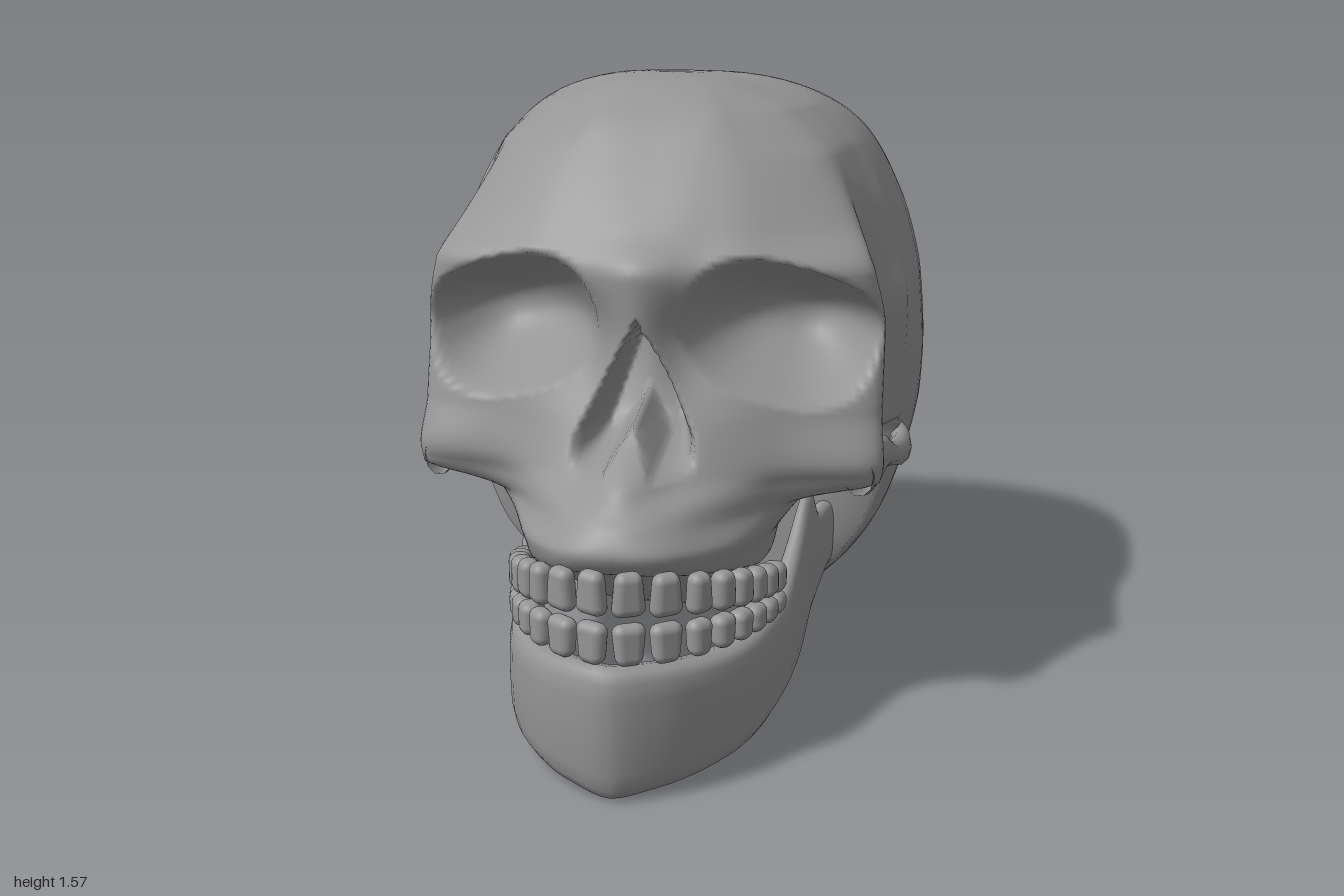
import * as THREE from 'three';
import { mergeGeometries, mergeVertices } from 'three/addons/utils/BufferGeometryUtils.js';
import { RoundedBoxGeometry } from 'three/addons/geometries/RoundedBoxGeometry.js';

const material = new THREE.MeshStandardMaterial({ color: 0x959595, side: THREE.DoubleSide });
const { clamp, lerp, smoothstep } = THREE.MathUtils;
const V = (x, y, z) => new THREE.Vector3(x, y, z);

// Smooth, overshoot-free interpolation between the rows of a table
function sample(table, t) {
  const last = table.length - 1, i = Math.min(Math.floor(t), last - 1), f = t - i;
  const span = (k) => Math.abs(table[k + 1][0] - table[k][0]) + 0.03;
  const rate = (k, c) => (table[k + 1][c] - table[k][c]) / span(k);
  const slope = (k, c) => {
    if (k === 0 || k === last) return rate(k === 0 ? 0 : last - 1, c);
    const a = rate(k - 1, c), b = rate(k, c);
    return a * b > 0 ? 2 * a * b / (a + b) : 0;
  };
  const f2 = f * f, f3 = f2 * f;
  return table[i].map((p, c) => p * (2 * f3 - 3 * f2 + 1) + table[i + 1][c] * (3 * f2 - 2 * f3)
    + span(i) * (slope(i, c) * (f3 - 2 * f2 + f) + slope(i + 1, c) * (f3 - f2)));
}

// Row parameters, denser where rows of the table lie far apart in height
function steps(table) {
  const out = [];
  for (let i = 0; i < table.length - 1; i++) {
    const n = Math.max(4, Math.ceil(Math.abs(table[i + 1][0] - table[i][0]) / 0.013));
    for (let k = 0; k < n; k++) out.push(i + k / n);
  }
  return [...out, table.length - 1];
}

// Surface through rows of points, for the left half and its mirror image
function mirroredGrid(rows, flip) {
  return [1, -1].map((side) => {
    const pos = [], index = [], n = rows[0].length;
    rows.forEach((row) => row.forEach((p) => pos.push(p.x * side, p.y, p.z)));
    for (let r = 0; r < rows.length - 1; r++) for (let c = 0; c < n - 1; c++) {
      const a = r * n + c, b = a + n;
      if (flip === (side > 0)) index.push(a, b + 1, b, a, a + 1, b + 1);
      else index.push(a, b, b + 1, a, b + 1, a + 1);
    }
    const g = new THREE.BufferGeometry();
    g.setAttribute('position', new THREE.Float32BufferAttribute(pos, 3));
    return g.setIndex(index);
  });
}

function weld(parts) {
  const g = mergeVertices(mergeGeometries(parts), 1e-4);
  g.computeVertexNormals();
  return g;
}

// Depth of the eye socket and nasal opening at a point of the face
function hollow(x, y) {
  const dx = x - 0.33, dy = y - 1.01, a = 0.3;
  const u = (dx * Math.cos(a) - dy * Math.sin(a)) / 0.232;
  const v = (dx * Math.sin(a) + dy * Math.cos(a)) / 0.165;
  const e = Math.pow(Math.abs(u), 2.5) + Math.pow(Math.abs(v), 2.5);
  const eye = e < 1 ? 0.26 * Math.pow(1 - e, 1.15) : 0;
  const width = 0.148 * Math.pow(clamp((1.04 - y) / 0.27, 0, 1), 0.9);
  const floor = Math.max(0.705, 0.81 - x * 1.7);
  const nose = width > 0 ? 0.2 * smoothstep(1 - x / width, 0, 0.4) * clamp((y - floor) / 0.04, 0, 1) : 0;
  return eye + nose;
}

// Face levels: y, middle z, z beside the nose, cheek x, cheek z
const FRONT = [
  [1.575, 0.05, 0.05, 0, 0.05], [1.56, 0.17, 0.16, 0.09, 0.15], [1.5, 0.285, 0.28, 0.18, 0.25],
  [1.4, 0.39, 0.385, 0.24, 0.35], [1.24, 0.53, 0.515, 0.28, 0.475], [1.15, 0.615, 0.57, 0.29, 0.54],
  [1.0, 0.605, 0.53, 0.31, 0.5], [0.8, 0.645, 0.615, 0.32, 0.54], [0.69, 0.81, 0.7, 0.33, 0.56],
  [0.64, 0.85, 0.78, 0.33, 0.55], [0.59, 0.885, 0.82, 0.29, 0.58], [0.5, 0.91, 0.87, 0.25, 0.7],
  [0.43, 0.87, 0.83, 0.23, 0.67], [0.5, 0.72, 0.68, 0.15, 0.55],
];
// Same levels: outer rim x, z; temple x, z; rear edge x, z
const SIDE = [
  [0, 0.05, 0, 0.05, 0, 0.05], [0.13, 0.12, 0.15, 0.06, 0.16, 0], [0.28, 0.18, 0.32, 0.1, 0.345, 0],
  [0.38, 0.255, 0.43, 0.14, 0.46, 0], [0.48, 0.345, 0.485, 0.21, 0.545, 0.01], [0.53, 0.42, 0.495, 0.25, 0.57, 0.03],
  [0.56, 0.39, 0.505, 0.25, 0.605, 0.05], [0.56, 0.44, 0.51, 0.25, 0.6, 0.05], [0.57, 0.48, 0.515, 0.25, 0.59, 0.05],
  [0.565, 0.47, 0.45, 0.3, 0.3, 0.25], [0.38, 0.44, 0.34, 0.3, 0.28, 0.24], [0.31, 0.46, 0.31, 0.32, 0.26, 0.24],
  [0.29, 0.45, 0.29, 0.32, 0.26, 0.27], [0.18, 0.4, 0.18, 0.32, 0.17, 0.27],
];
// Braincase levels: y, half width, back z, front edge x, z (the edge follows the face down to 0.69)
const BACK = [
  [1.575, 0, 0.05, 0, 0], [1.56, 0.18, -0.17, 0, 0], [1.5, 0.36, -0.41, 0, 0], [1.4, 0.475, -0.66, 0, 0],
  [1.24, 0.56, -0.81, 0, 0], [1.15, 0.592, -0.88, 0, 0], [1.0, 0.624, -0.955, 0, 0], [0.8, 0.637, -0.988, 0, 0],
  [0.69, 0.632, -0.998, 0.59, 0.05], [0.64, 0.625, -1, 0.585, 0.03], [0.5, 0.592, -0.965, 0.54, 0.02],
  [0.35, 0.535, -0.902, 0.48, 0.02], [0.25, 0.47, -0.845, 0.4, 0.02], [0.15, 0.37, -0.725, 0.3, -0.03],
  [0.08, 0.25, -0.59, 0.2, -0.09], [0.03, 0.06, -0.33, 0.05, -0.24], [0.03, 0, -0.28, 0, -0.28],
];

function skullGeometry() {
  const COLS = 60, FLOOR = 4, edges = [];
  // underside columns, folded away above the cheekbones
  const addFloor = (row, edge, y, z) => {
    const open = clamp((0.69 - y) / 0.05, 0, 1);
    for (let k = 1; k <= FLOOR; k++) {
      const f = open * k / FLOOR;
      row.push(V(lerp(edge.x, 0, f), edge.y, lerp(edge.z, z, f)));
    }
  };
  const face = steps(FRONT).map((t) => {
    const [y, zm, zf, xq, zq] = sample(FRONT, t), [rx, rz, tx, tz, ex, ez] = sample(SIDE, t);
    const xf = Math.min(0.13, 0.45 * rx);
    const curve = new THREE.CatmullRomCurve3([V(-xf, y, zf), V(0, y, zm), V(xf, y, zf),
      V(xq, y, zq), V(rx, y, rz), V(tx, y, tz), V(ex, y, ez)], false, 'catmullrom', 0.5);
    const row = [], low = clamp((0.68 - y) / 0.25, 0, 1);
    for (let c = 0; c <= COLS; c++) {
      const p = c === COLS ? V(ex, y, ez) : curve.getPoint((1 + 5 * c / COLS) / 6);
      if (c === 0) p.x = 0;
      if (c / COLS < 0.62) p.z -= hollow(p.x, y);
      // the gum line rises to the front and at the very back
      p.y += low * (0.25 * Math.max(0, p.z - 0.5) + 0.8 * Math.max(0, 0.34 - p.z));
      row.push(p);
    }
    if (t <= 8) edges.push(row[COLS].clone());
    addFloor(row, row[COLS], y, ez);
    return row;
  });
  const back = steps(BACK).map((t, i) => {
    const [y, w, zb, bx, bz] = sample(BACK, t);
    const edge = i < edges.length ? edges[i] : V(bx, y, bz);
    const zc = lerp(edge.z, zb, 0.3), row = [];
    for (let k = 0; k <= 16; k++) {
      const a = k / 16 * Math.PI / 2;
      row.push(V(w * Math.pow(Math.sin(a), 0.83), y, zc + (zb - zc) * Math.pow(Math.max(0, Math.cos(a)), 0.83)));
    }
    for (let k = 1; k <= 6; k++) {
      const f = k / 6;
      row.push(V(lerp(edge.x, w, Math.cos(f * Math.PI / 2)), y, lerp(zc, edge.z, f)));
    }
    addFloor(row, edge, y, edge.z);
    return row;
  });
  return weld([...mirroredGrid(face, false), ...mirroredGrid(back, true)]);
}

// Jaw stations across the chin to the hinge: outer x, z, top y, bottom y, thickness
const JAW = [
  [-0.12, 0.945, 0.33, 0.015, 0.1], [0, 1.0, 0.335, 0.001, 0.1], [0.12, 0.945, 0.33, 0.015, 0.1],
  [0.22, 0.84, 0.315, 0.025, 0.1], [0.305, 0.67, 0.305, 0.035, 0.09], [0.35, 0.45, 0.31, 0.05, 0.08],
  [0.37, 0.3, 0.4, 0.075, 0.06], [0.38, 0.2, 0.49, 0.125, 0.045], [0.385, 0.155, 0.515, 0.16, 0.04],
  [0.4, 0.09, 0.43, 0.21, 0.045], [0.42, 0.03, 0.44, 0.26, 0.05], [0.45, -0.03, 0.41, 0.3, 0.03],
];

function jawGeometry() {
  const rows = [], last = JAW.length - 1;
  const squash = (v) => Math.sign(v) * Math.pow(Math.abs(v), 0.6);
  for (let i = 4; i <= last * 4; i++) {
    const [x, z, top, bottom, th] = sample(JAW, i / 4);
    const a = sample(JAW, i / 4 - 0.1), b = sample(JAW, Math.min(last, i / 4 + 0.1));
    const n = i === 4 ? new THREE.Vector2(0, 1) : new THREE.Vector2(a[1] - b[1], b[0] - a[0]).normalize();
    const row = [];
    for (let k = 0; k <= 16; k++) {
      const q = (k % 16) / 16 * Math.PI * 2, s = squash(Math.sin(q));
      const off = (squash(Math.cos(q)) - 1) * th / 2;
      const lean = (1 - s) / 2 * 0.06 * Math.max(0, z - 0.5);
      row.push(V(x + n.x * off, lerp(bottom, top, (s + 1) / 2), z + n.y * off - lean));
    }
    rows.push(row);
  }
  return weld(mirroredGrid(rows, false));
}

// Cheek arch stations from cheekbone to temple: z, x, y, half width, half height
const ARCH = [
  [0.5, 0.52, 0.665, 0.035, 0.05], [0.4, 0.535, 0.66, 0.035, 0.065], [0.3, 0.557, 0.665, 0.026, 0.05],
  [0.18, 0.577, 0.63, 0.026, 0.032], [0.06, 0.597, 0.61, 0.03, 0.045], [0, 0.59, 0.615, 0.03, 0.05],
  [-0.07, 0.56, 0.63, 0.02, 0.04],
];

function archGeometry() {
  const rows = [];
  for (let i = 0; i <= (ARCH.length - 1) * 4; i++) {
    const [z, x, y, rx, ry] = sample(ARCH, i / 4), row = [];
    for (let k = 0; k <= 10; k++) {
      const q = (k % 10) / 10 * Math.PI * 2;
      row.push(V(x + rx * Math.cos(q), y + ry * Math.sin(q), z));
    }
    rows.push(row);
  }
  return weld(mirroredGrid(rows, false));
}

// One row of teeth along the dental arch, lower and wider towards the back
function teeth(name, yFront, yBack, hFront, hBack, taper) {
  const group = new THREE.Group();
  group.name = name;
  const arch = [[0.042, 0.925], [0.12, 0.885], [0.185, 0.82], [0.23, 0.75], [0.263, 0.685],
    [0.287, 0.615], [0.305, 0.54], [0.315, 0.46]];
  arch.forEach(([x, z], i) => {
    const f = clamp((0.925 - z) / 0.465, 0, 1), h = lerp(hFront, hBack, f);
    const g = new RoundedBoxGeometry(i < 2 ? 0.072 : 0.06, h, lerp(0.045, 0.06, f), 3, Math.min(0.022, h * 0.4));
    const p = g.attributes.position;
    for (let k = 0; k < p.count; k++) p.setX(k, p.getX(k) * (1 + taper * p.getY(k) / h));
    const prev = arch[Math.max(0, i - 1)], next = arch[Math.min(7, i + 1)];
    const turn = Math.atan2(prev[1] - next[1], next[0] - prev[0]);
    for (const side of [1, -1]) {
      const tooth = new THREE.Mesh(g, material);
      tooth.name = 'tooth';
      tooth.position.set(side * x, lerp(yFront, yBack, f), z);
      tooth.rotation.y = side * turn;
      group.add(tooth);
    }
  });
  return group;
}

export function createModel() {
  const model = new THREE.Group();
  model.name = 'skull';
  const add = (name, geometry) => {
    const mesh = new THREE.Mesh(geometry, material);
    mesh.name = name;
    model.add(mesh);
  };
  add('craniumAndFace', skullGeometry());
  add('lowerJaw', jawGeometry());
  add('cheekArches', archGeometry());
  model.add(teeth('upperTeeth', 0.5, 0.385, 0.105, 0.075, -0.3));
  model.add(teeth('lowerTeeth', 0.38, 0.318, 0.1, 0.052, 0.3));
  return model;
}
